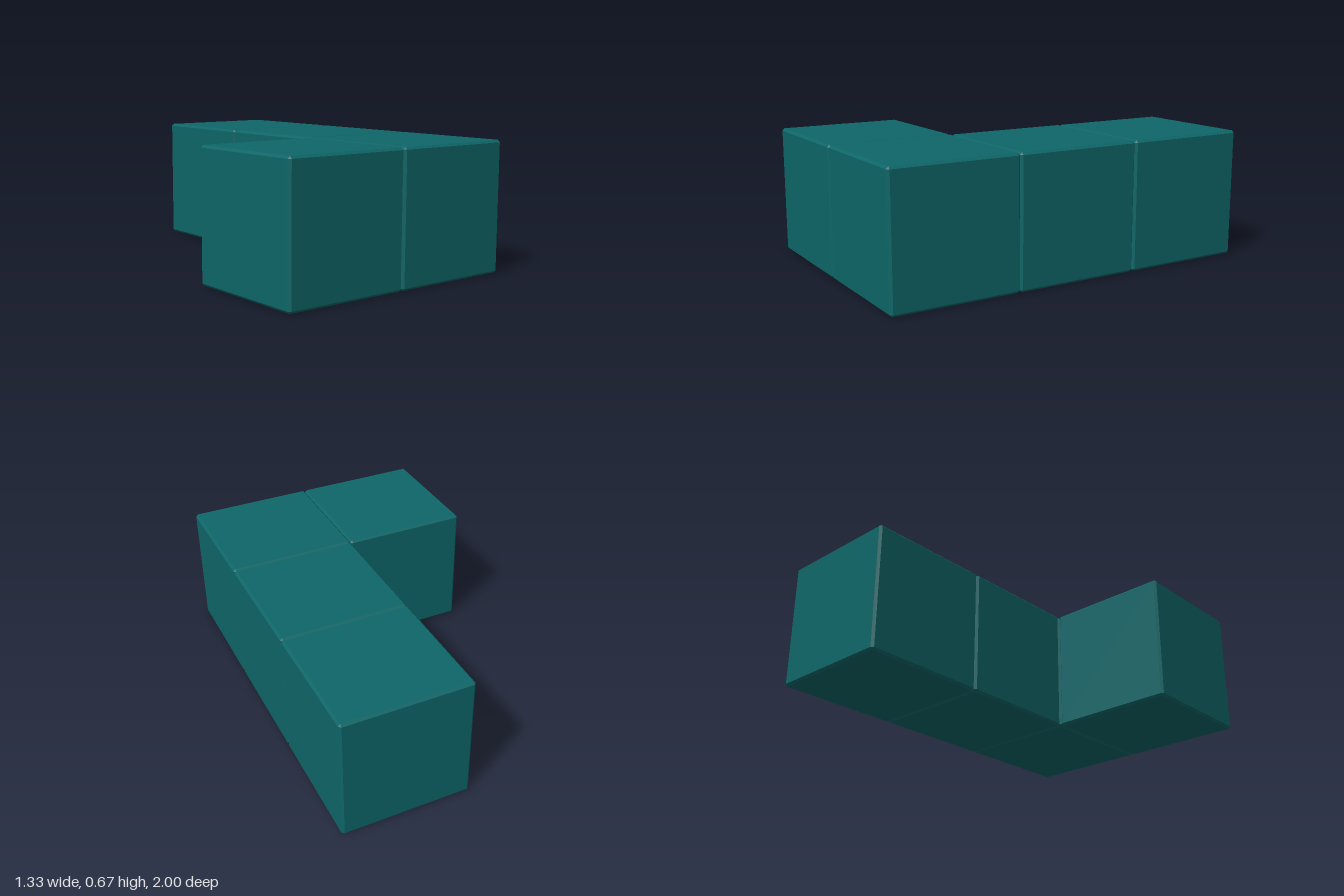
import * as THREE from 'three';
import { ConvexGeometry } from 'three/addons/geometries/ConvexGeometry.js';

const SIZE = 2 / 3;
const BEVEL = 0.012;

// Cube with flat chamfered edges and corners
function chamferedCube(size, bevel) {
  const outer = size / 2, inner = outer - bevel;
  const points = [];
  for (const x of [-1, 1]) for (const y of [-1, 1]) for (const z of [-1, 1]) {
    points.push(
      new THREE.Vector3(x * outer, y * inner, z * inner),
      new THREE.Vector3(x * inner, y * outer, z * inner),
      new THREE.Vector3(x * inner, y * inner, z * outer),
    );
  }
  return new ConvexGeometry(points);
}

export function createModel() {
  const model = new THREE.Group();
  model.name = 'lShapedBlock';
  const material = new THREE.MeshStandardMaterial({ color: 0x0e6668 });
  const geometry = chamferedCube(SIZE, BEVEL);

  // Row of three cubes on the left, plus the foot at the front right
  const cells = {
    backCube: [0.5, -1],
    middleCube: [0.5, 0],
    cornerCube: [0.5, 1],
    footCube: [-0.5, 1],
  };
  for (const [name, [x, z]] of Object.entries(cells)) {
    const cube = new THREE.Mesh(geometry, material);
    cube.name = name;
    cube.position.set(x * SIZE, SIZE / 2, z * SIZE);
    model.add(cube);
  }
  return model;
}
